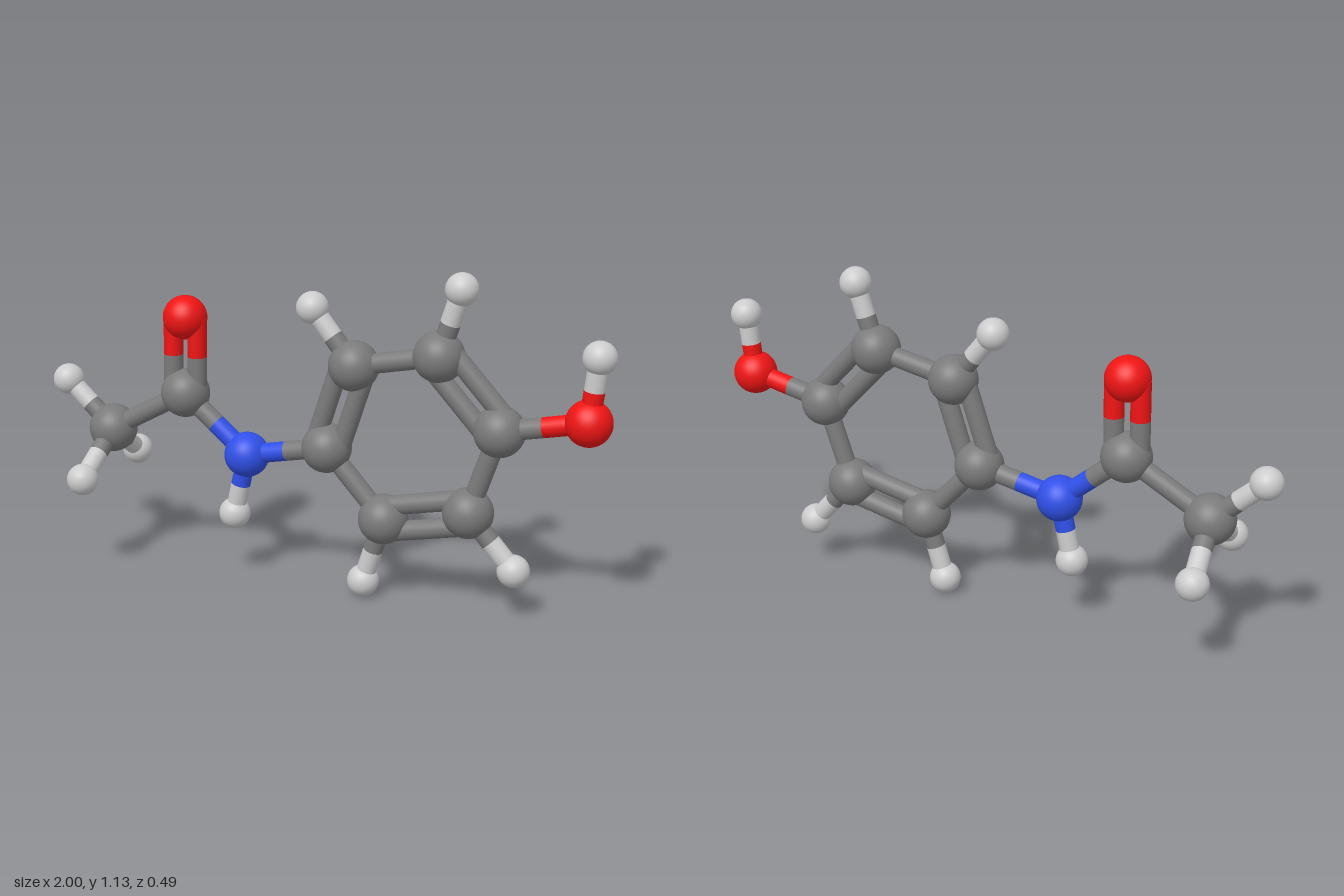
import * as THREE from 'three';

// Element styles: ball radius and material
const mat = (color) => new THREE.MeshStandardMaterial({ color });
const ELEMENTS = {
  carbon: { r: 0.084, material: mat(0x7a7a7a) },
  hydrogen: { r: 0.054, material: mat(0xcccccc) },
  oxygen: { r: 0.075, material: mat(0xf01414) },
  nitrogen: { r: 0.077, material: mat(0x3050e8) },
};
const BOND_RADIUS = 0.033;
const DOUBLE_OFFSET = 0.045;

// Atoms: element, x, y, z
const ATOMS = {
  methylCarbon: ['carbon', -0.772, 0.481, 0],
  methylHydrogenOuter: ['hydrogen', -0.946, 0.639, 0],
  methylHydrogenFront: ['hydrogen', -0.788, 0.345, 0.193],
  methylHydrogenBack: ['hydrogen', -0.788, 0.345, -0.193],
  carbonylCarbon: ['carbon', -0.483, 0.64, 0],
  carbonylOxygen: ['oxygen', -0.478, 0.904, 0],
  amideNitrogen: ['nitrogen', -0.253, 0.447, 0],
  amideHydrogen: ['hydrogen', -0.302, 0.23, 0],
  ringCarbon1: ['carbon', 0.041, 0.508, 0],
  ringCarbon2: ['carbon', 0.136, 0.799, 0],
  ringCarbon3: ['carbon', 0.427, 0.859, 0],
  ringCarbon4: ['carbon', 0.634, 0.636, 0],
  ringCarbon5: ['carbon', 0.538, 0.349, 0],
  ringCarbon6: ['carbon', 0.245, 0.286, 0],
  ringHydrogen2: ['hydrogen', -0.01, 0.979, 0],
  ringHydrogen3: ['hydrogen', 0.498, 1.082, 0],
  ringHydrogen5: ['hydrogen', 0.696, 0.172, 0],
  ringHydrogen6: ['hydrogen', 0.175, 0.057, 0],
  hydroxylOxygen: ['oxygen', 0.919, 0.697, 0],
  hydroxylHydrogen: ['hydrogen', 0.943, 0.907, 0],
};

// Bonds: first atom, second atom, order
const BONDS = [
  ['methylCarbon', 'methylHydrogenOuter', 1],
  ['methylCarbon', 'methylHydrogenFront', 1],
  ['methylCarbon', 'methylHydrogenBack', 1],
  ['methylCarbon', 'carbonylCarbon', 1],
  ['carbonylCarbon', 'carbonylOxygen', 2],
  ['carbonylCarbon', 'amideNitrogen', 1],
  ['amideNitrogen', 'amideHydrogen', 1],
  ['amideNitrogen', 'ringCarbon1', 1],
  ['ringCarbon4', 'hydroxylOxygen', 1],
  ['hydroxylOxygen', 'hydroxylHydrogen', 1],
];
for (let i = 1; i <= 6; i++) {
  // Ring bonds alternate between double and single
  BONDS.push([`ringCarbon${i}`, `ringCarbon${(i % 6) + 1}`, i % 2 ? 2 : 1]);
  if (ATOMS[`ringHydrogen${i}`]) BONDS.push([`ringCarbon${i}`, `ringHydrogen${i}`, 1]);
}

const position = (name) => new THREE.Vector3(...ATOMS[name].slice(1));

// One rod between two points
function rod(from, to, material, name) {
  const dir = to.clone().sub(from);
  const geometry = new THREE.CylinderGeometry(BOND_RADIUS, BOND_RADIUS, dir.length(), 24);
  const mesh = new THREE.Mesh(geometry, material);
  mesh.position.copy(from).add(to).multiplyScalar(0.5);
  mesh.quaternion.setFromUnitVectors(new THREE.Vector3(0, 1, 0), dir.normalize());
  mesh.name = name;
  return mesh;
}

// Single or double bond, each half coloured like its nearest atom
function bond(a, b, order) {
  const group = new THREE.Group();
  group.name = `${a} to ${b} bond`;
  const pa = position(a), pb = position(b);
  const side = new THREE.Vector3(pa.y - pb.y, pb.x - pa.x, 0).normalize();
  const offsets = order === 2 ? [-DOUBLE_OFFSET, DOUBLE_OFFSET] : [0];
  for (const d of offsets) {
    const start = pa.clone().addScaledVector(side, d);
    const end = pb.clone().addScaledVector(side, d);
    const middle = start.clone().lerp(end, 0.5);
    group.add(rod(start, middle, ELEMENTS[ATOMS[a][0]].material, 'bondHalfA'));
    group.add(rod(middle, end, ELEMENTS[ATOMS[b][0]].material, 'bondHalfB'));
  }
  return group;
}

export function createModel() {
  const model = new THREE.Group();
  model.name = 'ballAndStickMolecule';

  // Atom balls
  for (const name of Object.keys(ATOMS)) {
    const { r, material } = ELEMENTS[ATOMS[name][0]];
    const ball = new THREE.Mesh(new THREE.SphereGeometry(r, 40, 28), material);
    ball.position.copy(position(name));
    ball.name = name;
    model.add(ball);
  }

  // Connecting rods
  for (const [a, b, order] of BONDS) model.add(bond(a, b, order));
  return model;
}
